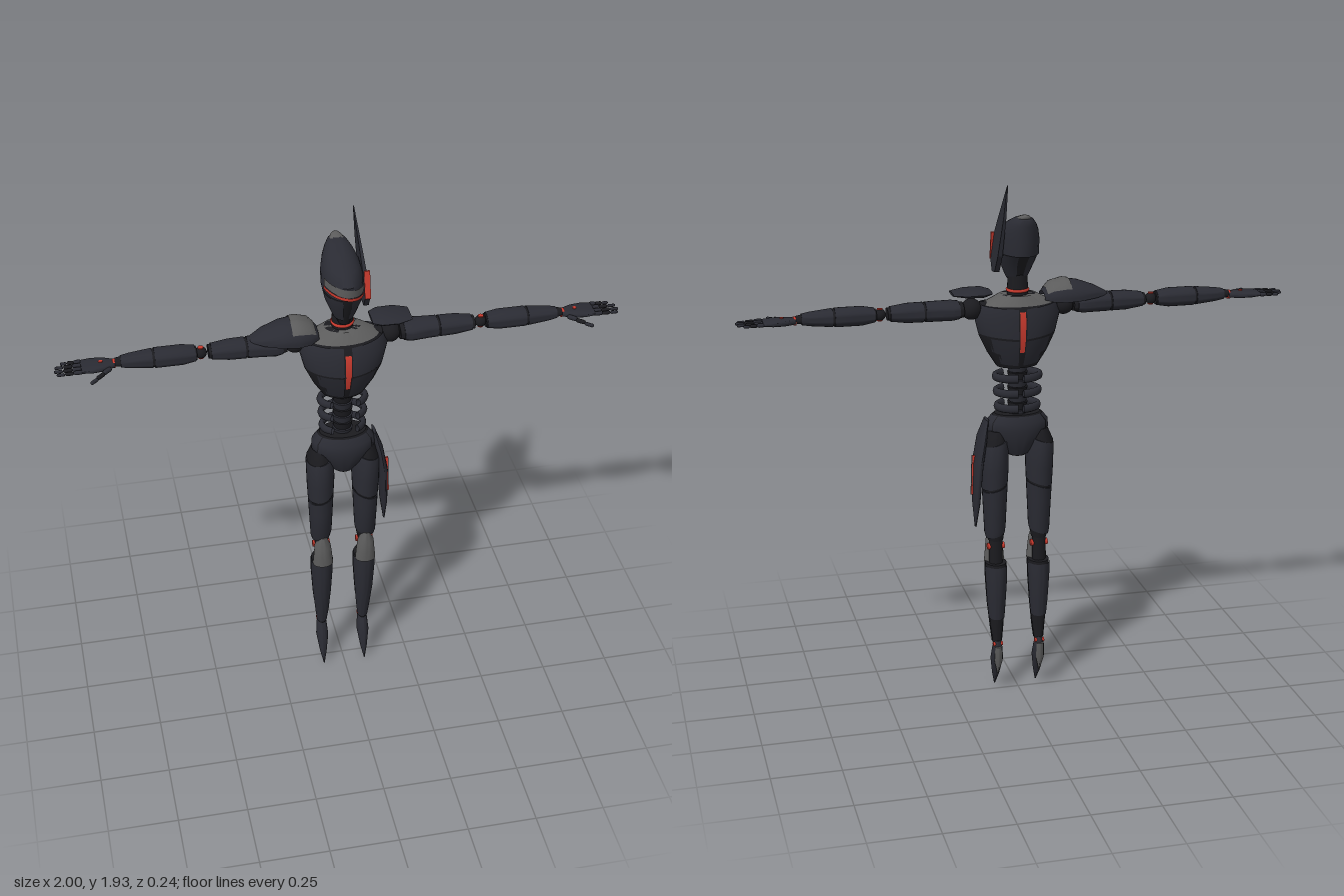
import * as THREE from 'three';
import { toCreasedNormals } from 'three/addons/utils/BufferGeometryUtils.js';

const paint = (color) => new THREE.MeshStandardMaterial({ color, side: THREE.DoubleSide });
const PI = Math.PI;

// Loft of elliptical sections [y, cx, cz, rx, rz], ascending y; arc a0..a1 gives an open shell
function loft(sections, { a0 = 0, a1 = 2 * PI, n = 2, sides = 24, off = 0, slope = 0 } = {}) {
  const pos = [], idx = [], row = sides + 1;
  const closed = a1 - a0 > 6.28;
  const pw = (v) => Math.sign(v) * Math.abs(v) ** (2 / n);
  for (const [y, cx, cz, rx, rz] of sections) {
    for (let j = 0; j <= sides; j++) {
      const a = a0 + ((a1 - a0) * j) / sides;
      const dx = (rx + off) * pw(Math.cos(a));
      pos.push(cx + dx, y + slope * dx, cz + (rz + off) * pw(Math.sin(a)));
    }
  }
  for (let i = 0; i < sections.length - 1; i++) {
    for (let j = 0; j < sides; j++) {
      const p = i * row + j, q = p + row;
      idx.push(p, q, p + 1, q, q + 1, p + 1);
    }
  }
  if (closed) {
    const last = sections.length - 1, c = pos.length / 3;
    for (const s of [sections[0], sections[last]]) pos.push(s[1], s[0], s[2]);
    for (let j = 0; j < sides; j++) {
      idx.push(c, j, j + 1, c + 1, last * row + j + 1, last * row + j);
    }
  }
  const g = new THREE.BufferGeometry();
  g.setAttribute('position', new THREE.Float32BufferAttribute(pos, 3));
  g.setIndex(idx);
  return toCreasedNormals(g, 0.8);
}

// Section of a profile at height y
function at(profile, y) {
  let i = 0;
  while (i < profile.length - 2 && profile[i + 1][0] < y) i++;
  const a = profile[i], b = profile[i + 1], t = (y - a[0]) / (b[0] - a[0]);
  return a.map((v, k) => v + (b[k] - v) * t);
}

// Armour plate lying just over a lofted profile
function shell(profile, y0, y1, a0, a1, opts = {}) {
  const mid = profile.filter((s) => s[0] > y0 && s[0] < y1);
  return loft([at(profile, y0), ...mid, at(profile, y1)], { a0, a1, off: 0.003, sides: 16, ...opts });
}

export function createModel() {
  const body = paint(0x2a2b33), black = paint(0x1b1b1f), gray = paint(0x5c5c5c), red = paint(0xc93a2e);
  const model = new THREE.Group();
  const add = (parent, name, geo, mat, x = 0, y = 0, z = 0) => {
    const m = new THREE.Mesh(geo, mat);
    m.name = name;
    m.position.set(x, y, z);
    parent.add(m);
    return m;
  };
  const group = (name, parent = model) => {
    const g = new THREE.Group();
    g.name = name;
    parent.add(g);
    return g;
  };
  const ball = (r, sx = 1, sy = 1, sz = 1) => new THREE.SphereGeometry(r, 20, 14).scale(sx, sy, sz);
  const disc = (r, h) => new THREE.CylinderGeometry(r, r, h, 20);

  // Head: face, helmet dome, slanted visor, crest
  const head = group('head');
  const face = [[1.56, 0, 0.03, 0.02, 0.03], [1.6, 0, 0.025, 0.04, 0.05], [1.65, 0, 0.02, 0.06, 0.078], [1.7, 0, 0, 0.07, 0.112]];
  const helmet = [[1.685, 0, 0, 0.07, 0.113], [1.735, 0, -0.003, 0.071, 0.117], [1.77, 0, -0.022, 0.063, 0.1],
    [1.795, 0, -0.05, 0.05, 0.074], [1.815, 0, -0.077, 0.034, 0.046], [1.827, 0, -0.09, 0.014, 0.02]];
  add(head, 'face', loft(face), black);
  add(head, 'cheekPlateLeft', shell(face, 1.585, 1.68, -1.3, 1.35), body);
  add(head, 'cheekPlateRight', shell(face, 1.585, 1.68, PI - 1.35, PI + 1.3), body);
  add(head, 'helmet', loft(helmet), body);
  add(head, 'visor', shell(helmet, 1.7, 1.73, 0.35, PI - 0.35, { slope: -0.2 }), gray);
  add(head, 'visorLine', shell(helmet, 1.688, 1.7, 0.35, PI - 0.35, { slope: -0.2, off: 0.005 }), red);
  add(head, 'crest', ball(1, 0.03, 0.018, 0.065), gray, 0, 1.803, -0.06).rotation.x = 0.4;

  // Single tall fin on the left of the head, outline in (-z, y)
  const outline = [[-0.03, 1.61], [-0.055, 1.655], [-0.035, 1.74], [0, 1.8], [0.09, 1.935], [0.085, 1.82], [0.055, 1.68], [0.01, 1.615]];
  const fin = new THREE.ExtrudeGeometry(new THREE.Shape(outline.map((p) => new THREE.Vector2(...p))),
    { depth: 0.018, bevelEnabled: false });
  fin.rotateY(PI / 2);
  const fp = fin.attributes.position;
  for (let i = 0; i < fp.count; i++) {
    const t = Math.max(0, (fp.getY(i) - 1.66) / 0.275);
    fp.setX(i, 0.07 - 0.013 * t + fp.getX(i) * (1 - 0.8 * t));
  }
  fin.computeVertexNormals();
  add(head, 'headFin', fin, body);
  add(head, 'finStripe', new THREE.BoxGeometry(0.02, 0.1, 0.009), red, 0.08, 1.7, 0.043).rotation.x = -0.2;

  // Neck
  const neck = group('neck');
  add(neck, 'neckCore', new THREE.CylinderGeometry(0.034, 0.04, 0.13, 20), black, 0, 1.555, 0.008);
  add(neck, 'neckRing', new THREE.TorusGeometry(0.036, 0.006, 8, 24).rotateX(PI / 2), red, 0, 1.545, 0.008);

  // Chest: dark core under armour plates, with red strips front and back
  const torso = group('torso');
  const chest = [[1.265, 0, 0.02, 0.075, 0.055], [1.32, 0, 0.021, 0.11, 0.08], [1.38, 0, 0.022, 0.138, 0.096],
    [1.45, 0, 0.02, 0.155, 0.096], [1.49, 0, 0.015, 0.138, 0.083], [1.53, 0, 0.01, 0.065, 0.05]];
  add(torso, 'chestCore', loft(chest, { sides: 32 }), black);
  for (const [y0, y1, name] of [[1.275, 1.372, 'lowerChestPlate'], [1.38, 1.488, 'upperChestPlate']]) {
    add(torso, name + 'Left', shell(chest, y0, y1, -PI / 2 + 0.1, PI / 2 - 0.1, { slope: 0.08 }), body);
    add(torso, name + 'Right', shell(chest, y0, y1, PI / 2 + 0.1, 1.5 * PI - 0.1, { slope: -0.08 }), body);
  }
  add(torso, 'chestStripe', shell(chest, 1.32, 1.465, PI / 2 - 0.075, PI / 2 + 0.065, { sides: 4 }), red);
  add(torso, 'backStripe', shell(chest, 1.33, 1.48, 1.5 * PI - 0.07, 1.5 * PI + 0.07, { sides: 4 }), red);
  add(torso, 'collar', shell(chest, 1.497, 1.53, 0, 2 * PI, { sides: 28 }), gray);

  // Waist: stacked spine and open ribs
  const waist = group('waist');
  for (let i = 0; i < 7; i++) {
    add(waist, 'vertebra', new THREE.CylinderGeometry(0.037, 0.032, 0.026, 18), i % 2 ? black : body, 0, 1.09 + i * 0.028, 0.01);
  }
  for (const side of [1, -1]) {
    for (let i = 0; i < 3; i++) {
      const rib = new THREE.TorusGeometry(1, 0.15, 8, 20, 2.4).rotateX(PI / 2).rotateY(1.45)
        .scale(0.075 + i * 0.003, 0.105, 0.055);
      const m = add(waist, 'rib', rib, body, 0, 1.115 + i * 0.056, 0.012);
      m.scale.x = side;
    }
  }

  // Pelvis
  const hips = [[0.93, 0, 0.02, 0.035, 0.04], [0.98, 0, 0.02, 0.075, 0.064], [1.03, 0, 0.02, 0.113, 0.072],
    [1.06, 0, 0.018, 0.11, 0.07], [1.09, 0, 0.015, 0.085, 0.055]];
  const pelvis = group('pelvis');
  add(pelvis, 'pelvisCore', loft(hips, { sides: 32 }), black);
  add(pelvis, 'pelvisFrontPlate', shell(hips, 0.935, 1.085, 0.55, PI - 0.55), body);
  add(pelvis, 'pelvisBackPlate', shell(hips, 0.935, 1.085, PI + 0.55, 2 * PI - 0.55), body);
  for (const a of [-0.5, PI - 0.5]) add(pelvis, 'hipPlate', shell(hips, 1.0, 1.085, a, a + 1), body);

  // Legs
  const thigh = [[0.6, 0.082, 0.015, 0.028, 0.03], [0.64, 0.083, 0.02, 0.036, 0.043], [0.75, 0.083, 0.02, 0.041, 0.052],
    [0.88, 0.083, 0.018, 0.047, 0.063], [0.98, 0.085, 0.015, 0.047, 0.067], [1.03, 0.08, 0.015, 0.03, 0.05]];
  const shin = [[0.17, 0.08, 0.003, 0.014, 0.015], [0.25, 0.08, 0.01, 0.023, 0.027], [0.35, 0.081, 0.014, 0.032, 0.04],
    [0.45, 0.081, 0.015, 0.038, 0.049], [0.51, 0.081, 0.018, 0.039, 0.047]];
  const knee = [[0.505, 0.081, 0.045, 0.038, 0.03], [0.55, 0.081, 0.045, 0.034, 0.032], [0.59, 0.082, 0.045, 0.03, 0.03],
    [0.635, 0.082, 0.05, 0.012, 0.017]];
  const foot = [[0, 0.08, 0.05, 0.002, 0.003], [0.05, 0.08, 0.032, 0.013, 0.017], [0.12, 0.08, 0.012, 0.023, 0.032],
    [0.17, 0.08, 0, 0.019, 0.026], [0.2, 0.08, -0.003, 0.012, 0.014]];
  const heel = [[0.065, 0.08, -0.006, 0.002, 0.003], [0.12, 0.08, -0.018, 0.015, 0.012], [0.18, 0.08, -0.023, 0.013, 0.01]];
  for (const side of [1, -1]) {
    const leg = group(side > 0 ? 'leftLeg' : 'rightLeg');
    leg.scale.x = side;
    add(leg, 'thighCore', loft(thigh), black);
    add(leg, 'upperThighPlate', shell(thigh, 0.815, 0.985, 0, 2 * PI, { sides: 24, slope: -0.3 }), body);
    add(leg, 'lowerThighPlate', shell(thigh, 0.62, 0.806, 0, 2 * PI, { sides: 24, slope: -0.3 }), body);
    add(leg, 'kneeCore', disc(0.025, 0.14), black, 0.082, 0.56, 0.013);
    add(leg, 'kneePlate', loft(knee), gray);
    add(leg, 'kneePivot', disc(0.012, 0.064).rotateZ(PI / 2), red, 0.082, 0.575, 0.012);
    add(leg, 'shinCore', loft(shin), black);
    add(leg, 'shinPlate', shell(shin, 0.19, 0.505, 0.08, PI - 0.08), body);
    add(leg, 'calfPlate', shell(shin, 0.29, 0.5, PI + 0.08, 2 * PI - 0.08), body);
    add(leg, 'anklePivot', disc(0.008, 0.036).rotateZ(PI / 2), red, 0.08, 0.187, -0.008);
    add(leg, 'foot', loft(foot), body);
    add(leg, 'heelSpur', loft(heel, { sides: 14 }), gray);
  }

  // Hanging shield beside the left thigh
  const shield = [[0.66, 0.158, 0.01, 0.003, 0.008], [0.75, 0.155, 0.01, 0.013, 0.035], [0.9, 0.148, 0.012, 0.018, 0.055],
    [1, 0.132, 0.012, 0.015, 0.055], [1.07, 0.115, 0.012, 0.006, 0.03]];
  const guard = group('hipShield');
  add(guard, 'shieldPlate', loft(shield), body);
  add(guard, 'shieldStripe', new THREE.BoxGeometry(0.012, 0.15, 0.008), red, 0.165, 0.86, 0.01).rotation.z = 0.03;
  add(guard, 'shieldEdge', new THREE.BoxGeometry(0.002, 0.15, 0.007), gray, 0.172, 0.86, 0.01).rotation.z = 0.03;

  // Arms: profiles run along local y and are turned to point outward
  const out = (g) => g.rotateZ(-PI / 2);
  const upperArm = [[0.2, 0, 0, 0.027, 0.042], [0.24, 0, 0, 0.033, 0.052], [0.3, 0, 0, 0.033, 0.043],
    [0.4, 0, 0, 0.032, 0.038], [0.47, 0, 0, 0.022, 0.03]];
  const foreArm = [[0.51, 0, 0, 0.022, 0.03], [0.56, 0, 0, 0.031, 0.037], [0.65, 0, 0, 0.031, 0.037],
    [0.74, 0, 0, 0.022, 0.027], [0.79, 0, 0, 0.013, 0.017]];
  const palm = [[0.79, 0, 0, 0.011, 0.018], [0.83, 0, 0, 0.013, 0.036], [0.87, 0, 0, 0.012, 0.042], [0.905, 0, 0, 0.008, 0.04]];
  for (const side of [1, -1]) {
    const arm = group(side > 0 ? 'leftArm' : 'rightArm');
    arm.scale.x = side;
    arm.position.set(0, 1.482, 0.01);
    add(arm, 'shoulderJoint', ball(0.038), black, 0.168);
    add(arm, 'shoulderRod', out(disc(0.024, 0.14)), black, 0.18);
    add(arm, 'upperArmCore', out(loft(upperArm)), black);
    add(arm, 'upperArmPlate', out(shell(upperArm, 0.215, 0.335, 0, 2 * PI, { sides: 24 })), body);
    add(arm, 'lowerSleevePlate', out(shell(upperArm, 0.343, 0.46, 0, 2 * PI, { sides: 24 })), body);
    add(arm, 'elbow', ball(0.021), black, 0.495);
    add(arm, 'elbowPivot', disc(0.01, 0.044), red, 0.495);
    add(arm, 'foreArmCore', out(loft(foreArm)), black);
    add(arm, 'foreArmPlate', out(shell(foreArm, 0.515, 0.655, 0, 2 * PI, { sides: 24 })), body);
    add(arm, 'cuffPlate', out(shell(foreArm, 0.663, 0.77, 0, 2 * PI, { sides: 24 })), body);
    // Hand
    const hand = group('hand', arm);
    hand.position.y = -0.004;
    add(hand, 'wristBand', out(disc(0.016, 0.01)), red, 0.793);
    add(hand, 'palm', out(loft(palm, { n: 2.6 })), body);
    add(hand, 'handStud', disc(0.007, 0.03), red, 0.838);
    [-0.033, -0.011, 0.012, 0.033].forEach((z, i) => {
      const len = [0.072, 0.092, 0.096, 0.088][i];
      for (let k = 0; k < 3; k++) {
        const seg = new THREE.CapsuleGeometry(0.0075 - k * 0.001, len / 3 - 0.012, 4, 10).rotateZ(-PI / 2);
        add(hand, 'fingerSegment', seg, k % 2 ? black : body, 0.902 + (len * (k + 0.5)) / 3, -0.001 * k, z);
      }
    });
    for (let k = 0; k < 3; k++) {
      const seg = new THREE.CapsuleGeometry(0.0085 - k * 0.001, 0.022, 4, 10).rotateZ(-PI / 2).rotateY(-0.75);
      add(hand, 'thumbSegment', seg, k % 2 ? black : body, 0.82 + 0.024 * k, -0.003 - 0.003 * k, 0.038 + 0.023 * k);
    }
  }

  // Large right pauldron with a pale cap, and a small floating left one
  const pauldron = [[0.09, 0, 0, 0.02, 0.045], [0.12, 0, 0, 0.053, 0.068], [0.165, 0, 0, 0.064, 0.076],
    [0.22, 0, 0, 0.055, 0.07], [0.28, 0, 0, 0.033, 0.05], [0.325, 0, 0, 0.008, 0.02]];
  const right = group('rightPauldron');
  right.scale.x = -1;
  right.position.set(0, 1.512, 0.01);
  add(right, 'pauldronPlate', out(shell(pauldron, 0.09, 0.325, PI / 2 - 0.15, 1.5 * PI + 0.15, { off: 0 })), body);
  add(right, 'pauldronCap', out(shell(pauldron, 0.1, 0.185, PI - 1, PI + 1)), gray);
  const smallPlate = [[0.1, 0, 0, 0.006, 0.04], [0.13, 0, 0, 0.016, 0.058], [0.19, 0, 0, 0.015, 0.06], [0.24, 0, 0, 0.005, 0.042]];
  add(model, 'leftPauldron', out(loft(smallPlate)), body, 0, 1.543, 0.005);

  return model;
}
